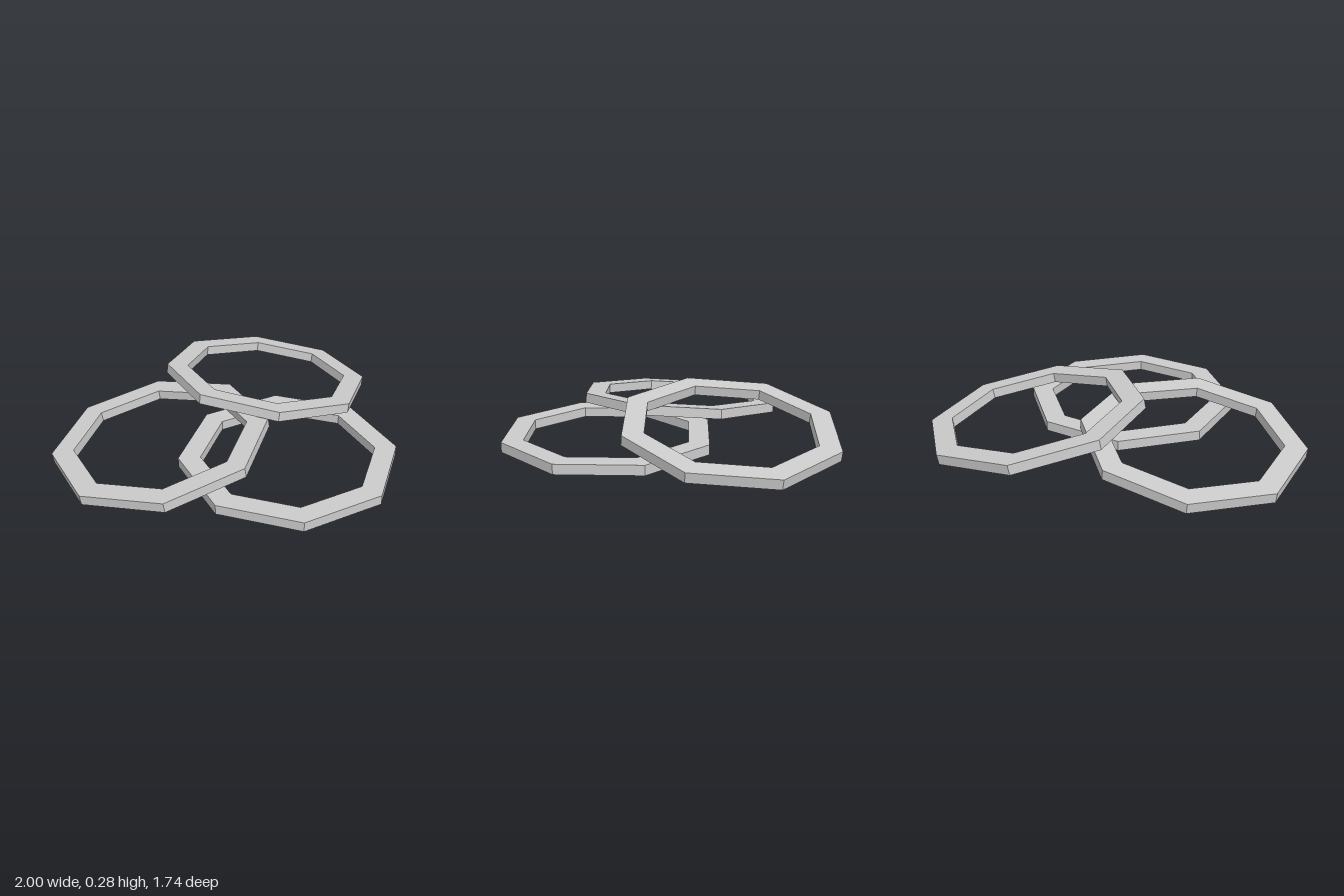
import * as THREE from 'three';

const OUTER = 0.586, INNER = 0.468, THICK = 0.054, SIDES = 8;

// Regular octagon points, one corner on +x
function octagon(radius) {
  return Array.from({ length: SIDES }, (_, i) => {
    const a = (i / SIDES) * Math.PI * 2;
    return new THREE.Vector2(Math.cos(a) * radius, Math.sin(a) * radius);
  });
}

// Flat octagonal band lying in the xz plane, centred on its own origin
function ringGeometry() {
  const shape = new THREE.Shape(octagon(OUTER));
  shape.holes.push(new THREE.Path(octagon(INNER).reverse()));
  const geometry = new THREE.ExtrudeGeometry(shape, { depth: THICK, bevelEnabled: false });
  geometry.translate(0, 0, -THICK / 2);
  geometry.rotateX(-Math.PI / 2);
  return geometry;
}

export function createModel() {
  const model = new THREE.Group();
  model.name = 'linkedRings';
  const geometry = ringGeometry();
  const material = new THREE.MeshStandardMaterial({ color: 0xcccccc, flatShading: true });
  const deg = THREE.MathUtils.degToRad;

  // Position, then tilt in degrees: one ring lies flat, two lean over it
  const rings = [
    ['frontRing', [-0.03, 0.037, 0.28], [0, 0, 0]],
    ['leftRing', [0.417, 0.155, -0.231], [0, 0, -10]],
    ['rightRing', [-0.415, 0.1, -0.285], [-5, 0.8, 5]],
  ];
  for (const [name, position, tilt] of rings) {
    const ring = new THREE.Mesh(geometry, material);
    ring.name = name;
    ring.position.set(...position);
    ring.rotation.set(...tilt.map(deg));
    model.add(ring);
  }
  return model;
}
